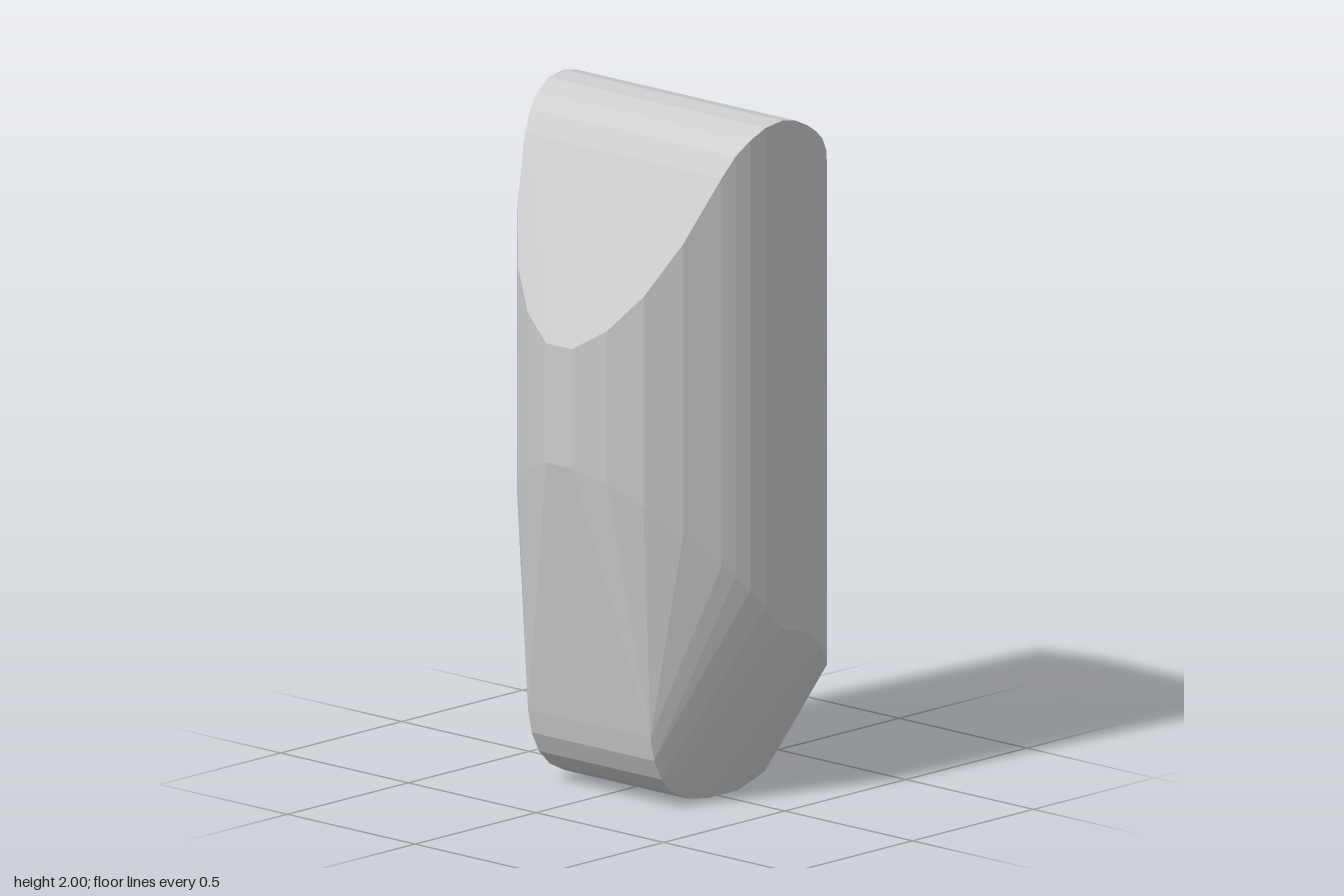
import * as THREE from 'three';
import { ConvexGeometry } from 'three/addons/geometries/ConvexGeometry.js';

// Upright shaft outline, from -x to +x: [x, half depth, lower y, upper y]
const shaft = [
  [-0.405, 0.05, 1.0, 1.35],
  [-0.37, 0.155, 0.965, 1.415],
  [-0.315, 0.245, 0.905, 1.52],
  [-0.235, 0.325, 0.825, 1.675],
  [-0.14, 0.385, 0.725, 1.86],
  [-0.1, 0.402, 0.685, 1.92],
  [-0.055, 0.416, 0.64, 1.96],
  [0, 0.425, 0.58, 1.99],
  [0.065, 0.429, 0.51, 2.0],
  [0.12, 0.429, 0.495, 1.99],
  [0.17, 0.428, 0.48, 1.967],
  [0.21, 0.422, 0.455, 1.942],
  [0.245, 0.415, 0.42, 1.913],
  [0.31, 0.37, 0.35, 1.855],
  [0.35, 0.333, 0.335, 1.81],
  [0.375, 0.3, 0.36, 1.8],
  [0.403, 0.205, 0.425, 1.79],
];

// Rounded foot strip profile: [x, y], spanning a constant depth
const foot = [
  [-0.28, 0.22], [-0.265, 0.15], [-0.235, 0.09], [-0.19, 0.045], [-0.13, 0.015],
  [-0.04, 0], [0.08, 0], [0.19, 0.035], [0.28, 0.125],
];
const FOOT_HALF_DEPTH = 0.24;

export function createModel() {
  const group = new THREE.Group();
  group.name = 'bevelledBlock';

  // Mirror both outlines front to back and wrap them in one faceted skin
  const points = [];
  for (const side of [-1, 1]) {
    for (const [x, z, low, high] of shaft) {
      points.push(new THREE.Vector3(x, low, side * z), new THREE.Vector3(x, high, side * z));
    }
    for (const [x, y] of foot) points.push(new THREE.Vector3(x, y, side * FOOT_HALF_DEPTH));
  }

  const material = new THREE.MeshStandardMaterial({ color: 0xcccccc, flatShading: true });
  const body = new THREE.Mesh(new ConvexGeometry(points), material);
  body.name = 'body';
  group.add(body);
  return group;
}
